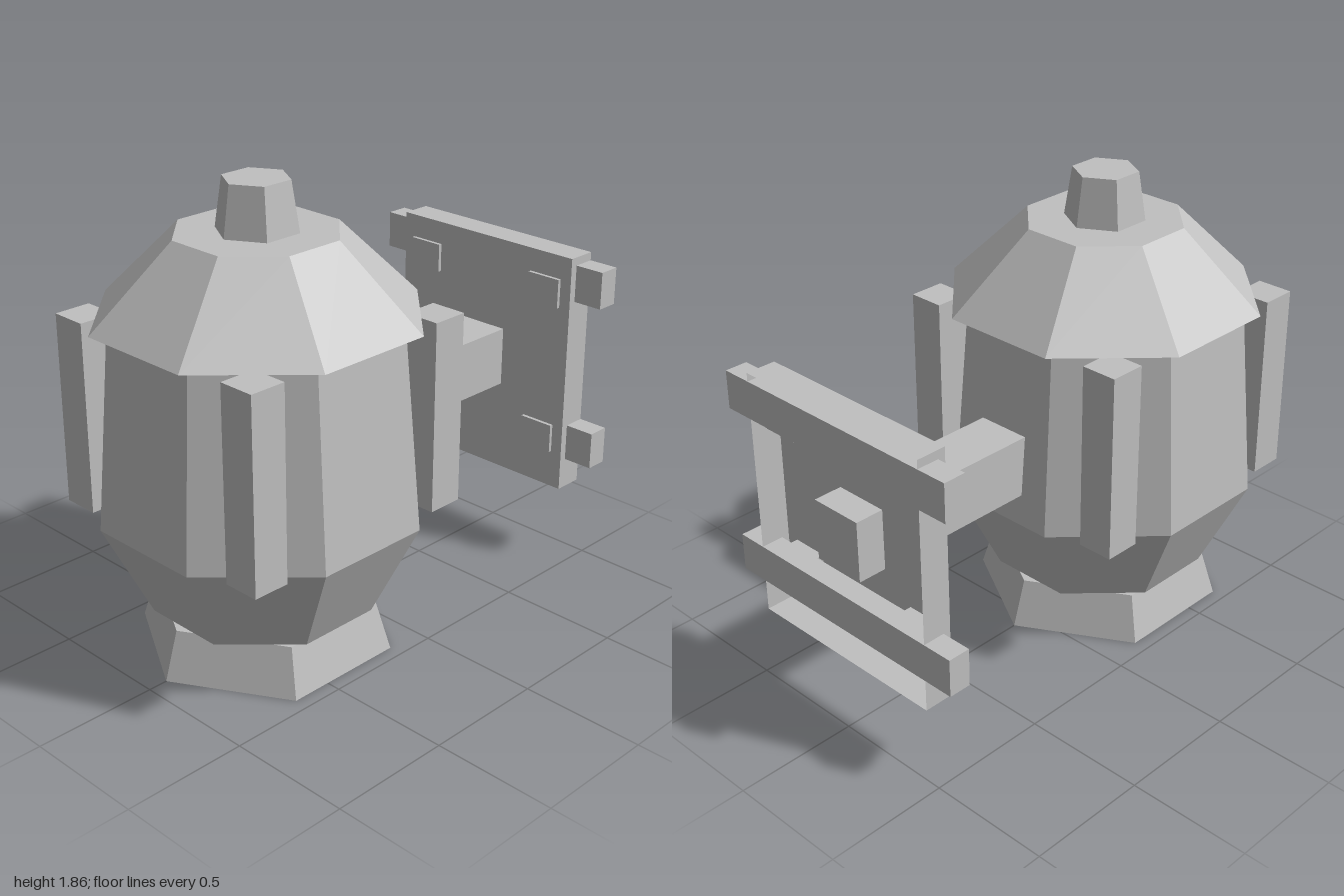
import * as THREE from 'three';

const BODY_Z = 0.41; // axis of the lantern
const grey = new THREE.MeshStandardMaterial({ color: 0xc0c0c0 });
grey.name = 'grey';
const greyOpen = grey.clone(); // same grey for the open-backed plate
greyOpen.side = THREE.DoubleSide;

export function createModel() {
  const model = new THREE.Group();
  model.name = 'wallLantern';

  const add = (name, geometry, material = grey) => {
    const mesh = new THREE.Mesh(geometry, material);
    mesh.name = name;
    model.add(mesh);
    return mesh;
  };

  // Box given by its limits on each axis
  const box = (name, [x0, x1], [y0, y1], [z0, z1]) => {
    const g = new THREE.BoxGeometry(x1 - x0, y1 - y0, z1 - z0);
    g.translate((x0 + x1) / 2, (y0 + y1) / 2, (z0 + z1) / 2);
    return add(name, g);
  };

  // Faceted tapered prism on the lantern axis
  const prism = (name, sides, rBottom, rTop, y0, y1, turn = 0) => {
    const g = new THREE.CylinderGeometry(rTop, rBottom, y1 - y0, sides).toNonIndexed();
    g.computeVertexNormals();
    g.rotateY(turn);
    g.translate(0, (y0 + y1) / 2, BODY_Z);
    return add(name, g);
  };
  // Octagon with flat sides to the front, sized by half its width
  const octagon = (name, aBottom, aTop, y0, y1) => {
    const k = 1 / Math.cos(Math.PI / 8);
    return prism(name, 8, aBottom * k, aTop * k, y0, y1, Math.PI / 8);
  };

  // Lantern
  prism('foot', 6, 0.51, 0.45, 0, 0.195);
  octagon('lowerBowl', 0.415, 0.59, 0.195, 0.58);
  octagon('lampBody', 0.59, 0.53, 0.58, 1.35);
  octagon('roof', 0.59, 0.295, 1.35, 1.665);
  prism('finial', 6, 0.16, 0.13, 1.665, 1.86);

  // Upright posts on the four diagonal sides
  for (const s of [-1, 1]) {
    for (const t of [-1, 1]) {
      const x = s * 0.453, z = BODY_Z - 0.005 + t * 0.452;
      box('cornerPost', [x - 0.075, x + 0.075], [0.58, 1.345], [z - 0.075, z + 0.075]);
    }
  }

  // Arm passing through the wall plate
  box('arm', [-0.113, 0.113], [0.71, 0.96], [-0.995, -0.1]);

  // Wall plate: shallow tray open at the back
  const tray = new THREE.BoxGeometry(0.896, 1.025, 0.125);
  tray.setIndex(Array.from(tray.index.array).slice(0, 30));
  tray.clearGroups();
  tray.translate(0, 0.8375, -0.9375);
  add('wallPlate', tray, greyOpen);

  // Cross rails and the bolt pads in front of them
  for (const y of [0.455, 1.16]) {
    box('rail', [-0.575, 0.575], [y, y + 0.155], [-1, -0.907]);
  }
  for (const y of [0.485, 1.13]) {
    for (const s of [-1, 1]) {
      const x = s * 0.32;
      box('boltPad', [x - 0.077, x + 0.077], [y, y + 0.122], [-0.97, -0.86]);
    }
  }
  return model;
}
